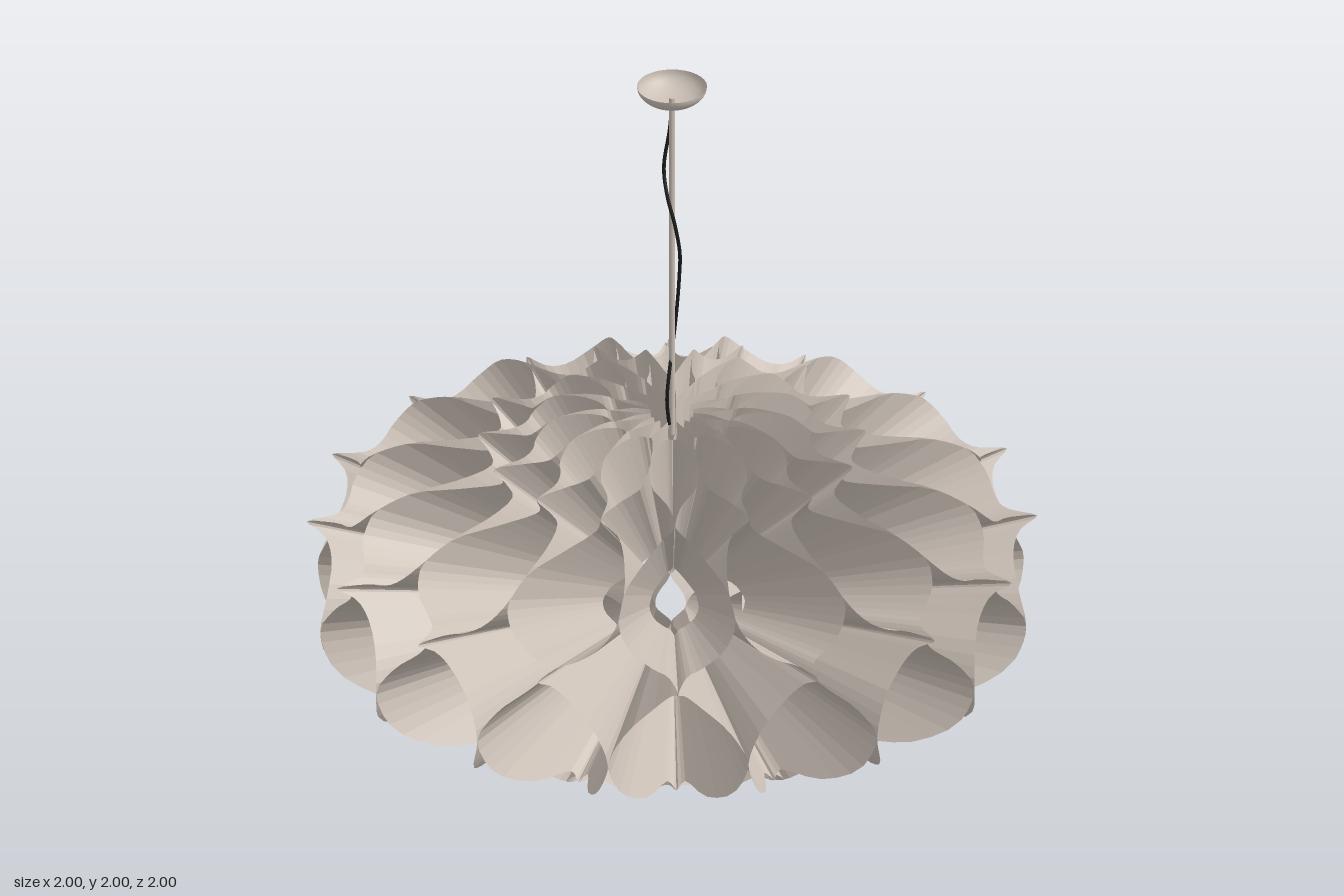
import * as THREE from 'three';

const veneer = new THREE.MeshStandardMaterial({ color: 0xcbc0b6, side: THREE.DoubleSide });
veneer.name = 'warm grey veneer';
const black = new THREE.MeshStandardMaterial({ color: 0x1c1c1c });
black.name = 'black cord';

const CELLS = 16;          // cells around each tier
const CORE = 0.41;         // height of the point all the strips aim at
const INNER = 0.42;        // inner edge as a fraction of the outer edge

// Outer edge of one strip: [sway, radius, height]; sway 0 and 1 touch the two neighbours
const EDGE = [
  [1, .06, .985], [.5, .11, .99], [0, .17, .99], [.5, .2, 1.005], [.9, .27, 1.01], [1, .33, 1.0],
  [.85, .378, .96], [.5, .4, .935], [.15, .45, .925], [0, .53, .92], [.15, .505, .88],
  [.42, .495, .845], [.8, .6, .825], [1, .74, .81], [1, .82, .775], [.8, .87, .72],
  [.4, .89, .67], [.12, .925, .658], [0, 1.0, .65], [.1, .955, .62], [.35, .935, .57],
  [.8, .96, .49], [1, .985, .41], [.85, .96, .32], [.5, .84, .24], [.18, .69, .21],
  [0, .7, .185], [.15, .64, .17], [.5, .6, .135], [.9, .55, .085], [1, .5, .06],
  [.6, .4, .05], [.15, .33, .05], [0, .35, .02], [.15, .31, .015], [.6, .27, .01],
  [1, .22, .004], [.5, .18, .015], [0, .18, .002], [.5, .13, .01], [1, .08, .01], [0, .04, .02],
];

// A ribbon of radial rulings whose outer edge sways between two meridians
function stripGeometry(meridian, side) {
  const curve = new THREE.CatmullRomCurve3(EDGE.map(p => new THREE.Vector3(...p)), false, 'centripetal');
  const steps = (EDGE.length - 1) * 3;
  const pos = [], index = [];
  for (let i = 0; i <= steps; i++) {
    const p = curve.getPoint(i / steps);
    const a = meridian + side * THREE.MathUtils.clamp(p.x, 0, 1) * Math.PI / CELLS;
    const y = Math.max(p.z, 0);
    for (const s of [1, INNER]) {
      pos.push(Math.cos(a) * p.y * s, CORE + (y - CORE) * s, Math.sin(a) * p.y * s);
    }
    if (i < steps) {
      const k = i * 2;
      index.push(k, k + 1, k + 2, k + 1, k + 3, k + 2);
    }
  }
  const g = new THREE.BufferGeometry();
  g.setAttribute('position', new THREE.Float32BufferAttribute(pos, 3));
  g.setIndex(index);
  const flat = g.toNonIndexed();
  flat.computeVertexNormals();
  return flat;
}

export function createModel() {
  const model = new THREE.Group();
  model.name = 'pendantLamp';
  const add = (name, geometry, material, parent = model) => {
    const mesh = new THREE.Mesh(geometry, material);
    mesh.name = name;
    parent.add(mesh);
    return mesh;
  };

  // Shade: mirrored pairs of strips around the axis
  const shade = new THREE.Group();
  shade.name = 'shade';
  model.add(shade);
  for (let i = 0; i < CELLS; i++) {
    for (const side of [-1, 1]) {
      add('shadeStrip', stripGeometry(i * 2 * Math.PI / CELLS, side), veneer, shade);
    }
  }

  // Ceiling canopy: a shallow bowl, open at the top
  const bowl = [];
  for (let i = 0; i <= 10; i++) {
    const t = i / 10 * Math.PI / 2;
    bowl.push(new THREE.Vector2(0.096 * Math.sin(t), 2 - 0.055 * Math.cos(t)));
  }
  add('canopy', new THREE.LatheGeometry(bowl, 32), veneer);

  // Hanging rod
  add('rod', new THREE.CylinderGeometry(0.008, 0.008, 1.05, 12), veneer).position.y = 1.44;

  // Loose cord winding around the rod
  const cord = new THREE.CatmullRomCurve3([
    [0, 1.95, 0], [-.006, 1.86, -.014], [-.022, 1.74, -.012], [-.014, 1.67, .014], [.008, 1.58, .03],
    [.021, 1.49, .018], [.02, 1.4, -.008], [.012, 1.27, -.03], [.002, 1.18, -.018],
    [-.01, 1.1, .026], [-.014, 1.03, .022], [-.008, .95, .01],
  ].map(p => new THREE.Vector3(...p)));
  add('cord', new THREE.TubeGeometry(cord, 72, 0.005, 6), black);
  return model;
}
